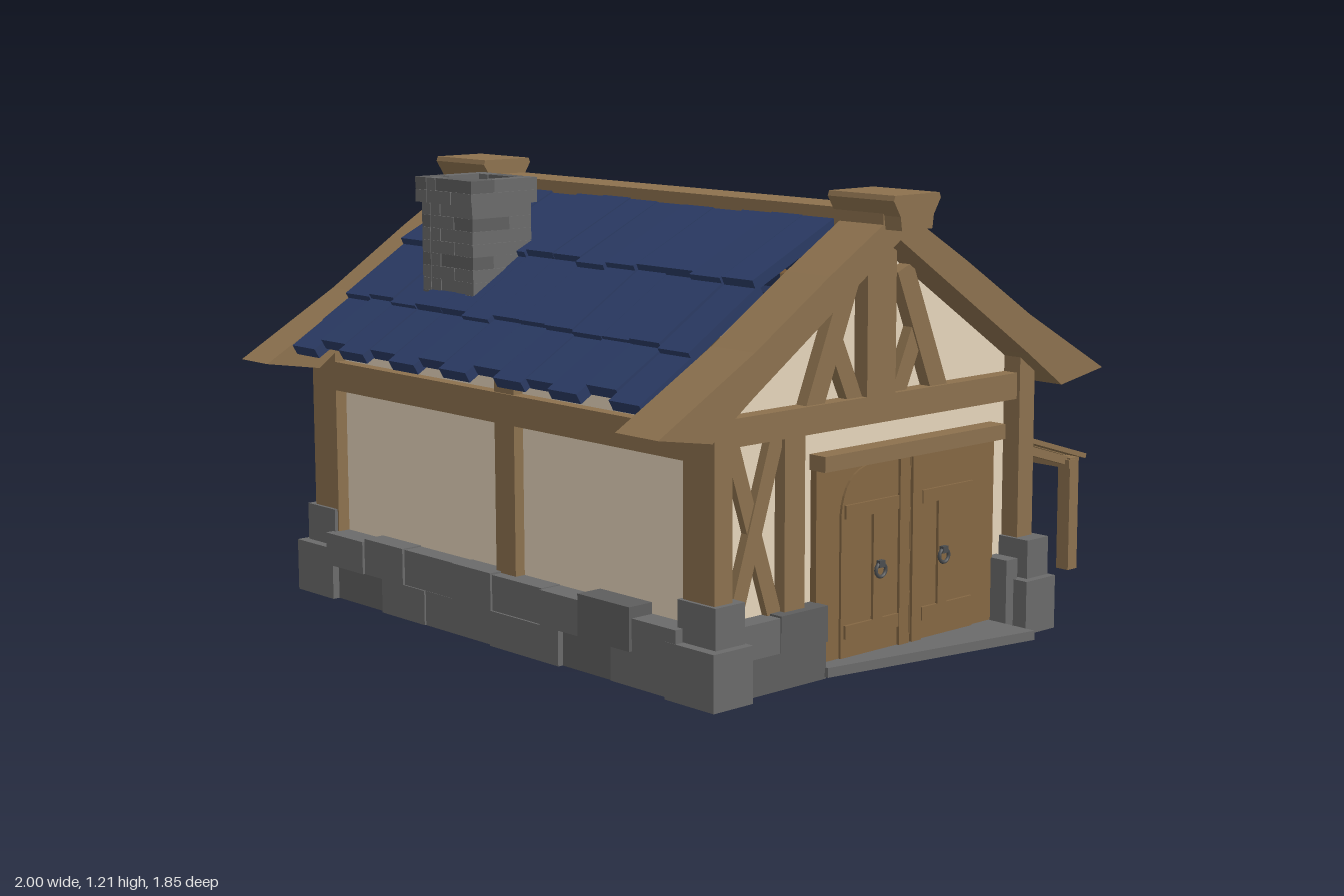
import * as THREE from 'three';

const mat = (name, color) => Object.assign(new THREE.MeshStandardMaterial({ color }), { name });

export function createModel() {
  const wood = mat('timber', 0x8c714e), doorWood = mat('door wood', 0x846743);
  const hoodWood = mat('hood wood', 0x966f44), plaster = mat('plaster', 0xe5d4bb);
  const stone = mat('stone', 0x6a6a6a), stoneDark = mat('dark stone', 0x5e5e5e);
  const slate = mat('blue roof tile', 0x2a3a63), black = mat('soot', 0x080808), iron = mat('iron', 0x4a4c4e);
  plaster.side = THREE.DoubleSide;

  const root = new THREE.Group();
  root.name = 'timberFramedBarn';
  const C = -0.195; // x of the ridge
  let seed = 7;
  const rnd = () => (seed = (seed * 16807) % 2147483647) / 2147483647;
  const jit = (a) => (rnd() - 0.5) * 2 * a;

  const group = (name) => {
    const g = new THREE.Group();
    g.name = name;
    root.add(g);
    return g;
  };
  const add = (g, name, geo, m) => {
    const mesh = new THREE.Mesh(geo, m);
    mesh.name = name;
    g.add(mesh);
    return mesh;
  };
  // Box given by its minimum and maximum on each axis
  const box = (g, name, m, x0, x1, y0, y1, z0, z1) => {
    const b = add(g, name, new THREE.BoxGeometry(x1 - x0, y1 - y0, z1 - z0), m);
    b.position.set((x0 + x1) / 2, (y0 + y1) / 2, (z0 + z1) / 2);
    return b;
  };
  // Sloping beam in the xy plane, width w, from z0 to z1
  const beam = (g, name, m, ax, ay, bx, by, w, z0, z1) => {
    const b = add(g, name, new THREE.BoxGeometry(Math.hypot(bx - ax, by - ay), w, z1 - z0), m);
    b.position.set((ax + bx) / 2, (ay + by) / 2, (z0 + z1) / 2);
    b.rotation.z = Math.atan2(by - ay, bx - ax);
    return b;
  };
  const shape = (pts) => new THREE.Shape(pts.map((p) => new THREE.Vector2(p[0], p[1])));
  const plate = (g, name, m, s, z0, z1) => {
    const p = add(g, name, new THREE.ExtrudeGeometry(s, { depth: z1 - z0, bevelEnabled: false, curveSegments: 8 }), m);
    p.position.z = z0;
    return p;
  };

  // Plaster walls: gable ends and long sides
  const walls = group('walls');
  const gable = [[-0.75, 0.1], [-0.4, 0.1], [-0.4, 0.55], [0.27, 0.55], [0.27, 0.1], [0.36, 0.1], [0.36, 0.77], [C, 1.12], [-0.75, 0.77]];
  plate(walls, 'frontWall', plaster, shape(gable), 0.735, 0.745);
  plate(walls, 'backWall', plaster, shape(gable.filter((p, i) => i < 1 || i > 4)), -0.805, -0.795);
  box(walls, 'rightWall', plaster, -0.745, -0.735, 0.1, 0.77, -0.8, 0.74);
  box(walls, 'leftWall', plaster, 0.35, 0.36, 0.1, 0.77, -0.8, 0.74);

  // Timber frame
  const frame = group('timberFrame');
  for (const s of [-1, 1]) {
    const x = C + s * 0.555;
    for (const z of [0.745, -0.8]) box(frame, 'cornerPost', wood, x - 0.03, x + 0.03, 0.15, 0.79, z - 0.055, z + 0.055);
    box(frame, 'sidePost', wood, x - 0.025, x + 0.025, 0.15, 0.76, -0.04, 0.04);
    box(frame, 'sideBeam', wood, x - 0.03, x + 0.03, 0.6, 0.68, -0.8, 0.74);
  }
  for (const [z0, z1] of [[0.71, 0.79], [-0.85, -0.77]]) {
    box(frame, 'tieBeam', wood, -0.78, 0.39, 0.635, 0.705, z0, z1);
    box(frame, 'kingPost', wood, C - 0.052, C + 0.052, 0.7, 1.11, z0, z1);
    for (const s of [-1, 1]) {
      beam(frame, 'longBrace', wood, C + s * 0.235, 0.68, C + s * 0.095, 1.02, 0.06, z0 + 0.01, z1 - 0.01);
      beam(frame, 'shortBrace', wood, C + s * 0.07, 0.68, C + s * 0.155, 0.865, 0.05, z0 + 0.015, z1 - 0.015);
    }
  }
  box(frame, 'doorPost', wood, -0.525, -0.455, 0.15, 0.64, 0.71, 0.78);
  beam(frame, 'crossBrace', wood, -0.69, 0.18, -0.54, 0.64, 0.045, 0.715, 0.77);
  beam(frame, 'crossBrace', wood, -0.54, 0.18, -0.69, 0.64, 0.045, 0.72, 0.765);

  // Double door with arched leaves, rails and ring handles
  const door = group('doubleDoor');
  box(door, 'doorSurround', doorWood, -0.4, 0.27, 0.03, 0.55, 0.73, 0.765);
  box(door, 'lintel', wood, -0.405, 0.275, 0.535, 0.575, 0.72, 0.8);
  for (const s of [-1, 1]) {
    const mid = -0.067, X = (d) => mid + s * d;
    const leaf = new THREE.Shape();
    leaf.moveTo(X(0.004), 0.04);
    leaf.lineTo(X(0.25), 0.04);
    leaf.lineTo(X(0.25), 0.41);
    leaf.quadraticCurveTo(X(0.24), 0.52, X(0.14), 0.53);
    leaf.lineTo(X(0.004), 0.53);
    plate(door, 'doorLeaf', doorWood, leaf, 0.765, 0.772);
    const span = (name, a, b, y0, y1) => box(door, name, doorWood, Math.min(X(a), X(b)), Math.max(X(a), X(b)), y0, y1, 0.768, 0.78);
    span('lowerRail', 0.045, 0.24, 0.09, 0.125);
    span('upperRail', 0.045, 0.24, 0.4, 0.435);
    span('innerStile', 0.006, 0.042, 0.04, 0.53);
    span('middleStile', 0.105, 0.14, 0.125, 0.4);
    const ring = add(door, 'ringHandle', new THREE.TorusGeometry(0.018, 0.005, 6, 14), iron);
    ring.position.set(X(0.12), 0.253, 0.787);
    box(door, 'handleBoss', iron, X(0.12) - 0.01, X(0.12) + 0.01, 0.26, 0.278, 0.776, 0.793);
  }

  // Stone footing: two courses of uneven blocks, corner blocks and a doorstep
  const base = group('stoneFooting');
  const course = (a, b, put) => {
    for (let r = 0; r < 2; r++) {
      const n = Math.max(1, Math.round((b - a) / (r ? 0.19 : 0.23)));
      for (let i = 0, p = a; i < n; i++) {
        const q = i === n - 1 ? b : a + ((i + 1 + jit(0.2)) / n) * (b - a);
        put(p + 0.001, q - 0.001, r ? 0.106 : 0.01, r ? 0.205 + jit(0.018) : 0.105, jit(0.012) - r * 0.012, rnd() < 0.75 ? stone : stoneDark);
        p = q;
      }
    }
  };
  course(-0.7, -0.395, (a, b, y0, y1, j, m) => box(base, 'frontStone', m, a, b, y0, y1, 0.69, 0.81 + j));
  course(-0.7, 0.32, (a, b, y0, y1, j, m) => box(base, 'backStone', m, a, b, y0, y1, -0.865 + j, -0.75));
  course(-0.76, 0.7, (a, b, y0, y1, j, m) => box(base, 'rightStone', m, -0.8 + j, -0.7, y0, y1, a, b));
  course(-0.76, 0.7, (a, b, y0, y1, j, m) => box(base, 'leftStone', m, 0.31, 0.4 + j, y0, y1, a, b));
  for (const s of [-1, 1]) {
    const x0 = s < 0 ? -0.815 : 0.295, x1 = s < 0 ? -0.685 : 0.413;
    for (const [z0, z1] of [[0.66, s < 0 ? 0.835 : 0.865], [-0.9, -0.73]]) {
      box(base, 'cornerStone', stone, x0, x1, 0.01, 0.155, z0, z1);
      box(base, 'cornerCap', stone, x0 + 0.025, x1 - 0.008, 0.156, 0.26, z0 + 0.02, z1 - 0.02);
    }
  }
  box(base, 'doorSideStone', stone, 0.265, 0.31, 0.03, 0.21, 0.7, 0.82);
  box(base, 'longStone', stone, 0.3, 0.41, 0.09, 0.245, 0.52, 0.68);
  const step = plate(base, 'doorstep', stone, shape([[-0.4, -0.81], [-0.4, -0.72], [0.26, -0.72], [0.26, -0.925]].reverse()), 0, 0.025);
  step.rotation.x = -Math.PI / 2;
  step.position.y = 0.015;

  // Roof tiles: three overlapping rows of thirteen on each slope
  const roof = group('roof');
  const rows = [[0.03, 1.16], [0.325, 1.005], [0.53, 0.86], [0.712, 0.733]];
  for (const s of [-1, 1]) {
    for (let i = 0; i < 13; i++) {
      const z = -0.75 + i * 0.11;
      for (let r = 0; r < 3; r++) {
        const [a, b] = [rows[r], rows[r + 1]], k = r === 2 ? (i % 2) * -0.022 + jit(0.006) : 0.012 + jit(0.01);
        const lift = jit(0.005);
        beam(roof, 'roofTile', slate, C + s * (a[0] - 0.01), a[1] - 0.012 + lift, C + s * (b[0] + k), b[1] - k * 0.68 + 0.002 + lift,
          0.03, z, z + 0.1105);
      }
    }
  }

  // Barge boards, ridge beam and flared ridge caps
  for (const [z0, z1] of [[0.7, 0.85], [-0.87, -0.745]]) {
    for (const s of [-1, 1]) {
      const pts = [[0, 1.18], [0.25, 1.03], [0.5, 0.87], [0.808, 0.697], [0.637, 0.668], [0.5, 0.765], [0, 1.1]];
      plate(roof, 'bargeBoard', wood, shape(pts.map(([d, y]) => [C + s * d, y])), z0, z1);
    }
  }
  box(roof, 'ridgeBeam', wood, C - 0.063, C + 0.063, 1.11, 1.176, -0.85, 0.85);
  const cap = [[-0.055, 1.13], [0.055, 1.13], [0.06, 1.165], [0.085, 1.205], [0.08, 1.218], [-0.08, 1.218], [-0.085, 1.205], [-0.06, 1.165]];
  for (const [z0, z1] of [[0.68, 0.905], [-0.925, -0.7]]) {
    plate(roof, 'ridgeCap', wood, shape(cap.map(([x, y]) => [C + x, y])), z0, z1);
  }

  // Chimney: staggered brick courses around a dark flue
  const chimney = group('chimney');
  box(chimney, 'flue', black, -0.658, -0.522, 0.87, 1.15, -0.418, -0.262);
  for (let r = 0; r < 10; r++) {
    const e = r > 7 ? 0.012 : 0, y0 = 0.87 + r * 0.034, y1 = y0 + 0.0335, m = r % 3 ? stone : stoneDark;
    const [X0, X1, Z0, Z1] = [-0.69 - e, -0.488 + e, -0.45 - e, -0.23 + e], t = 0.035 + e, f = r % 2 ? 0.35 : 0.62;
    const xs = X0 + (X1 - X0) * f, zs = Z0 + (Z1 - Z0) * f;
    for (const [z0, z1] of [[Z0, Z0 + t], [Z1 - t, Z1]]) {
      box(chimney, 'brick', m, X0, xs - 0.001, y0, y1, z0, z1);
      box(chimney, 'brick', stone, xs, X1, y0, y1, z0 + 0.003, z1 - 0.003);
    }
    for (const [x0, x1] of [[X0, X0 + t], [X1 - t, X1]]) {
      box(chimney, 'brick', stone, x0 + 0.002, x1 - 0.002, y0, y1, Z0 + t, zs - 0.001);
      box(chimney, 'brick', m, x0 + 0.004, x1 - 0.004, y0, y1, zs, Z1 - t);
    }
  }

  // Dormer with a curved hood
  const dormer = group('dormer'), dz = -0.097;
  const arc = [[-0.158, 0.945], [-0.125, 0.98], [-0.06, 1.0], [0, 1.005], [0.06, 1.0], [0.125, 0.98], [0.158, 0.945]];
  const hood = plate(dormer, 'hood', hoodWood, shape([...arc, ...arc.slice().reverse().map(([x, y]) => [x * 0.95, y - 0.026])]), 0, 0.28);
  hood.rotation.y = Math.PI / 2;
  hood.position.set(0.16, 0, dz);
  box(dormer, 'dormerWall', plaster, 0.37, 0.378, 0.83, 0.975, dz - 0.1, dz + 0.1);
  box(dormer, 'sill', slate, 0.33, 0.395, 0.8, 0.868, dz - 0.09, dz + 0.09);
  box(dormer, 'mullion', wood, 0.375, 0.405, 0.84, 0.98, dz - 0.022, dz + 0.022);
  for (const s of [-1, 1]) {
    box(dormer, 'dormerPost', wood, 0.355, 0.42, 0.8, 0.965, dz + s * 0.112 - 0.024, dz + s * 0.112 + 0.024);
    box(dormer, 'dormerCheek', wood, 0.22, 0.37, 0.85, 0.96, dz + s * 0.112 - 0.01, dz + s * 0.112 + 0.01);
    const brace = box(dormer, 'dormerBrace', wood, 0.375, 0.4, 0.94, 0.965, dz + s * 0.06 - 0.05, dz + s * 0.06 + 0.05);
    brace.rotation.x = s * 0.5;
  }

  // Lean-to awning: sloping planks on posts
  const leanTo = group('leanTo');
  for (let i = 0; i < 16; i++) {
    const z = -0.585 + i * 0.068;
    beam(leanTo, 'awningPlank', wood, 0.405 + jit(0.008), 0.535, 0.987 + jit(0.008), 0.357 + jit(0.004), 0.014, z, z + 0.063 + jit(0.003));
  }
  for (const [x, y] of [[0.425, 0.505], [0.955, 0.345]]) box(leanTo, 'awningRail', wood, x - 0.015, x + 0.015, y - 0.025, y, -0.58, 0.48);
  for (const z of [-0.56, 0.45]) beam(leanTo, 'awningRafter', wood, 0.41, 0.505, 0.97, 0.335, 0.025, z - 0.015, z + 0.015);
  const post = (x, z, h) => box(leanTo, 'post', wood, x - 0.02, x + 0.02, 0.015, h, z - 0.022, z + 0.022);
  post(0.968, 0.455, 0.35);
  post(0.968, 0.155, 0.345);
  post(0.965, -0.612, 0.365);
  post(0.42, 0.455, 0.5);
  post(0.42, -0.612, 0.535);
  post(0.72, -0.56, 0.33);
  for (const y of [0.1, 0.185, 0.25, 0.31]) {
    const rail = box(leanTo, 'sideRail', wood, 0.955, 0.97, y - 0.015, y + 0.015, -0.61, 0.16);
    rail.rotation.x = jit(0.025);
    box(leanTo, 'wallRail', wood, 0.418, 0.432, y - 0.015, y + 0.015, -0.61, 0.455);
    beam(leanTo, 'backRail', wood, 0.42, y + jit(0.01), 0.96, y + jit(0.01), 0.03, -0.585, -0.57);
  }

  // Crate and barrels under the awning
  const goods = group('storedGoods');
  box(goods, 'crate', doorWood, 0.44, 0.61, 0.02, 0.32, -0.55, -0.32);
  for (let i = 0; i < 4; i++) {
    for (const z of [-0.557, -0.32]) box(goods, 'crateSlat', wood, 0.435 + i * 0.046, 0.475 + i * 0.046, 0.015, 0.328, z, z + 0.007);
  }
  const barrel = (r, h) => {
    const g = new THREE.Group();
    g.name = 'barrel';
    goods.add(g);
    const prof = [[0, 0], [0.82, 0], [0.94, 0.25], [1, 0.5], [0.94, 0.75], [0.82, 1], [0.72, 1], [0.72, 0.95], [0, 0.95]];
    const staves = new THREE.LatheGeometry(prof.map(([a, b]) => new THREE.Vector2(a * r, b * h)), 14).toNonIndexed();
    staves.computeVertexNormals();
    add(g, 'staves', staves, wood);
    for (const t of [0.22, 0.72]) {
      const hoop = add(g, 'hoop', new THREE.CylinderGeometry(r * 0.975, r * 0.975, h * 0.08, 14), iron);
      hoop.position.y = h * (t + 0.03);
    }
    return g;
  };
  barrel(0.082, 0.195).position.set(0.52, 0.005, -0.13);
  const lying = barrel(0.078, 0.19);
  lying.rotation.x = Math.PI / 2;
  lying.position.set(0.73, 0.09, -0.55);

  return root;
}
